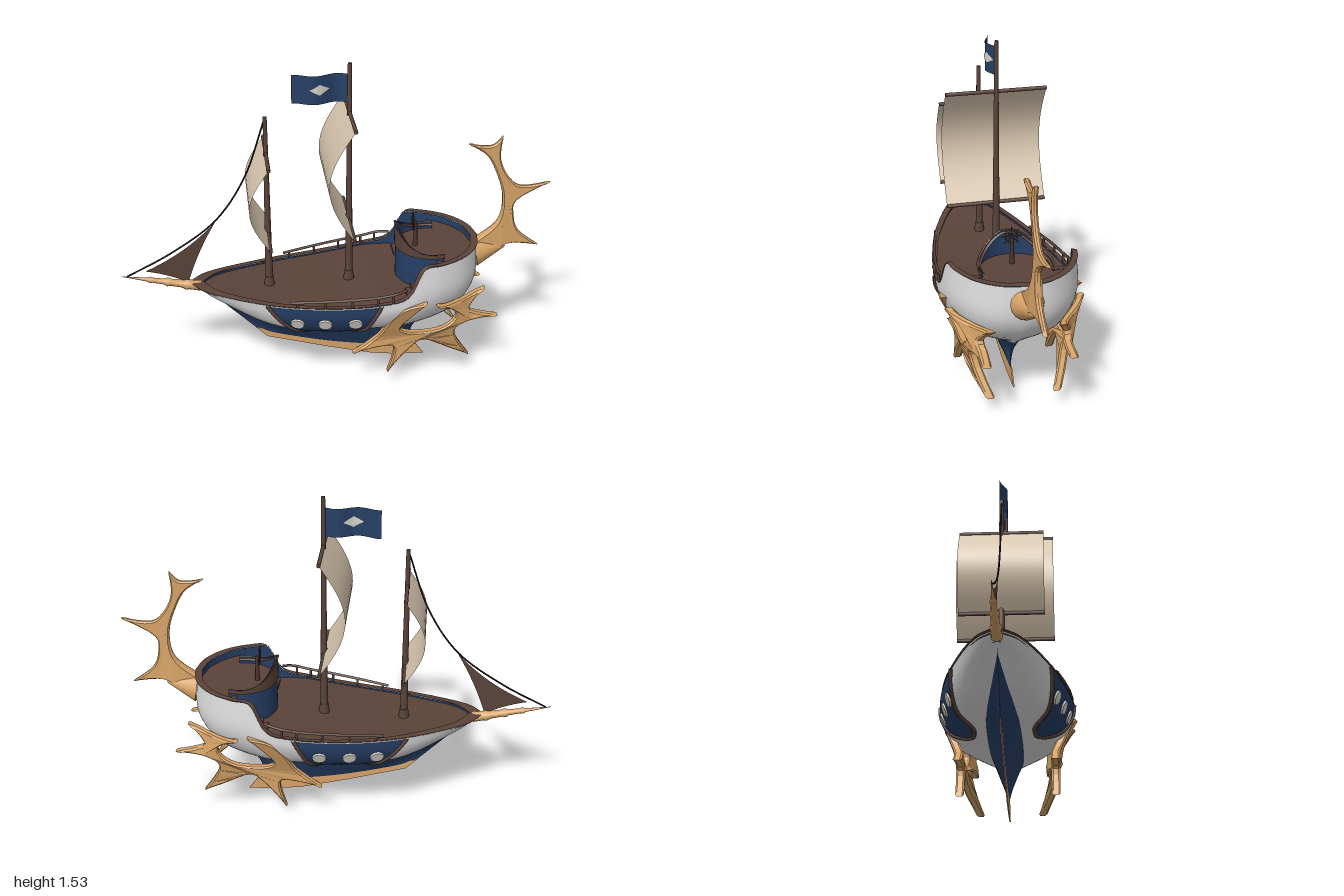
import * as THREE from 'three';
import { ParametricGeometry } from 'three/addons/geometries/ParametricGeometry.js';

const V = (x, y, z) => new THREE.Vector3(x, y, z);
const material = (name, color) => {
  const m = new THREE.MeshStandardMaterial({ color, side: THREE.DoubleSide });
  m.name = name;
  return m;
};
const row = (pts) => new THREE.CatmullRomCurve3(pts.map((p) => V(...p)));

// Lengthwise hull lines, bow to stern, from the rail down to the keel
const railLine = row([[-.68, .475, 0], [-.61, .47, .085], [-.34, .455, .21], [-.075, .455, .275], [.17, .475, .308], [.29, .505, .308],
  [.37, .64, .29], [.45, .645, .272], [.56, .645, .21], [.635, .645, .11], [.66, .645, 0]]);
const waleLine = row([[-.65, .455, 0], [-.58, .43, .075], [-.33, .39, .2], [-.07, .39, .268], [.17, .41, .3], [.29, .44, .305],
  [.37, .47, .297], [.45, .48, .278], [.56, .48, .215], [.635, .48, .115], [.66, .48, 0]]);
const bellyLine = row([[-.62, .435, 0], [-.53, .385, .055], [-.3, .315, .165], [-.05, .31, .225], [.17, .32, .245], [.28, .33, .25],
  [.36, .34, .235], [.44, .35, .21], [.53, .36, .16], [.58, .37, .09], [.6, .37, 0]]);
const bottomLine = row([[-.59, .41, 0], [-.48, .335, .028], [-.28, .265, .065], [-.04, .25, .075], [.15, .245, .075], [.24, .245, .072],
  [.3, .245, .068], [.36, .245, .06], [.4, .245, .045], [.42, .24, .022], [.43, .235, 0]]);
const flankLine = row([[-.49, .31, 0], [-.4, .255, .014], [-.23, .2, .033], [-.035, .175, .038], [.135, .155, .038], [.22, .15, .036],
  [.27, .15, .034], [.31, .15, .03], [.335, .15, .022], [.355, .15, .011], [.365, .15, 0]]);
const keelLine = row([[-.39, .21, 0], [-.32, .18, .003], [-.18, .14, .003], [-.03, .105, .003], [.12, .08, .003], [.2, .073, .003],
  [.25, .07, .003], [.3, .07, .003], [.33, .07, .003], [.35, .07, .002], [.37, .07, 0]]);

const section = (lines, u, v) => new THREE.CatmullRomCurve3(lines.map((l) => l.getPoint(u))).getPoint(v);
const hullPoint = (u, v) => section([railLine, waleLine, bellyLine, bottomLine], u, v);
const hullNormal = (u, v) => {
  const p = hullPoint(u, v), e = .004;
  const n = hullPoint(u + e, v).sub(p).cross(hullPoint(u, v + e).sub(p)).normalize();
  return n.z < 0 ? n.negate() : n;
};
// Rail line drawn in towards the middle of the deck
const inset = (u, k) => {
  const p = railLine.getPoint(u);
  return V(p.x + (.2 - p.x) * k, p.y, p.z * (1 - k));
};

export function createModel() {
  const ship = new THREE.Group();
  ship.name = 'sailingShip';
  const white = material('hull white', 0xdedede), navy = material('navy paint', 0x263f66), gold = material('antler gold', 0xd6a367);
  const brown = material('deck brown', 0x5a4339), dark = material('dark wood', 0x4a352d), cream = material('sail cream', 0xdac8b0);
  const pale = material('porthole pale', 0xdad6cc), black = material('rope black', 0x1c1714);

  const add = (name, geo, mat) => {
    const m = new THREE.Mesh(geo, mat);
    m.name = name;
    ship.add(m);
    return m;
  };
  const sheet = (name, fn, nu, nv, mat) => {
    const g = new ParametricGeometry((u, v, t) => t.copy(fn(u, v)), nu, nv);
    g.computeVertexNormals();
    return add(name, g, mat);
  };
  // A strip running down one side, round the stern and back up the other
  const around = (name, fn, nv, mat) => sheet(name, (u, v) => {
    const p = fn(1 - Math.abs(2 * u - 1), v);
    if (u > .5) p.z = -p.z;
    return p;
  }, 96, nv, mat);
  const tube = (name, pts, r, mat, n = 24) =>
    add(name, new THREE.TubeGeometry(new THREE.CatmullRomCurve3(pts), n, r, 6), mat);
  const place = (mesh, from, a, b) => {
    mesh.position.copy(from);
    mesh.quaternion.setFromUnitVectors(V(0, 1, 0), b.clone().sub(a).normalize());
    return mesh;
  };
  const rod = (name, a, b, r1, r2, mat, sides = 10) =>
    place(add(name, new THREE.CylinderGeometry(r2, r1, a.distanceTo(b), sides), mat), a.clone().lerp(b, .5), a, b);

  // Hull, keel and decks
  around('upperHull', hullPoint, 14, white);
  around('lowerHull', (u, v) => section([bottomLine, flankLine, keelLine], u, v), 8, navy);
  const keel = [[-.39, .21], [-.2, .147], [0, .1], [.17, .073], [.38, .07], [.43, 0], [.3, .003], [.17, .02], [-.05, .075], [-.335, .155]];
  add('keel', new THREE.ExtrudeGeometry(new THREE.Shape(keel.map((p) => new THREE.Vector2(...p))),
    { depth: .006, bevelEnabled: false }), gold).position.z = -.003;
  sheet('mainDeck', (u, v) => {
    const p = railLine.getPoint(u * .8);
    return V(p.x, Math.min(p.y - .008, .465), p.z * (1 - 2 * v) * .97);
  }, 48, 2, brown);
  around('railCap', (u, v) => inset(u, .075 * v - .015).add(V(0, .005, 0)), 1, brown);
  around('bulwarkInside', (u, v) => {
    const p = inset(u, .05);
    p.y += (.44 - p.y) * v;
    return p;
  }, 1, navy);

  // Raised stern deck with a curved bulkhead and a peaked parapet
  const arc = (t, r) => {
    const a = (75 + 210 * t) * Math.PI / 180;
    return V(.44 + r * Math.cos(a), .64 + .09 * Math.max(0, -Math.cos(a)) ** 3, r * Math.sin(a));
  };
  const outline = [];
  for (let i = 0; i <= 20; i++) outline.push(arc(i / 20, .16));
  for (let i = 0; i <= 32; i++) {
    const p = inset(1 - Math.abs(i / 16 - 1) * .27, .05);
    outline.push(V(p.x, 0, i < 16 ? -p.z : p.z));
  }
  const sternDeck = new THREE.ShapeGeometry(new THREE.Shape(outline.map((p) => new THREE.Vector2(p.x, p.z))));
  add('sternDeck', sternDeck.rotateX(Math.PI / 2), brown).position.y = .61;
  const arcWall = (name, r, low, mat) => sheet(name, (u, v) => {
    const p = arc(u, r);
    p.y += (low - p.y) * v;
    return p;
  }, 30, 1, mat);
  arcWall('bulkhead', .16, .45, navy);
  arcWall('parapetBand', .166, .62, brown);
  sheet('parapetCap', (u, v) => arc(u, .15 + .02 * v).add(V(0, .002 - .014 * (1 - v), 0)), 30, 1, brown);

  // Steering wheel
  const wheel = add('wheelRim', new THREE.TorusGeometry(.028, .004, 6, 16), dark);
  wheel.rotation.y = Math.PI / 2;
  wheel.position.set(.36, .735, 0);
  for (let i = 0; i < 4; i++) {
    const d = V(0, Math.cos(i * Math.PI / 4) * .045, Math.sin(i * Math.PI / 4) * .045);
    rod('wheelSpoke', wheel.position.clone().sub(d), wheel.position.clone().add(d), .003, .003, dark, 5);
  }
  rod('wheelStand', V(.372, .61, 0), V(.372, .735, 0), .012, .007, dark, 8);

  for (const s of [1, -1]) {
    // Stairs up to the stern deck
    for (let i = 0; i < 7; i++) {
      const h = .021 * (i + 1);
      add('stair', new THREE.BoxGeometry(.024, h, .094 - i * .003), brown).position.set(.312 + i * .024, .46 + h / 2, s * (.214 - i * .003));
    }
    // Painted side panel with frame and portholes
    const onHull = (u, v, lift) => {
      const p = hullPoint(u, v).addScaledVector(hullNormal(u, v), lift);
      return V(p.x, p.y, p.z * s);
    };
    const panel = (t, v, lift) => {
      const c = Math.cos(Math.PI * t);
      return onHull(.3 - .1 * c, .01 + .87 * v * (1 - Math.abs(c) ** 3), lift);
    };
    sheet('sidePanel', (u, v) => panel(u, v, .005), 32, 10, navy);
    tube('panelFrame', Array.from({ length: 25 }, (_, i) => panel(i / 24, 1, .004)), .01, brown, 48);
    for (const u of [.246, .294, .349]) {
      rod('porthole', onHull(u, .42, .004), onHull(u, .42, .012), .033, .031, pale, 10);
    }
    // Deck railing
    const railAt = (t) => {
      const p = railLine.getPoint(.24 + .21 * t);
      return V(p.x, .475 + .053 * t, p.z * .975 * s);
    };
    tube('handRail', [0, .25, .5, .75, 1].map(railAt).concat(V(.29, .535, .285 * s)), .007, brown);
    for (let i = 0; i < 5; i++) {
      const p = railAt(.05 + i * .225);
      rod('railPost', V(p.x, .445, p.z), p, .006, .006, brown, 6);
    }
  }

  // Antlers: curved outlines running from tip to tip, bevelled and bent by a rule
  const antler = (name, arcs, depth, bend) => {
    const shape = new THREE.Shape();
    shape.moveTo(...arcs[arcs.length - 1].at(-1));
    for (const a of arcs) shape.splineThru(a.map((p) => new THREE.Vector2(...p)));
    const g = new THREE.ExtrudeGeometry(shape, { depth, curveSegments: 3, bevelThickness: .008, bevelSize: .007, bevelOffset: -.007, bevelSegments: 1 });
    g.translate(0, 0, -depth / 2);
    const a = g.attributes.position;
    for (let i = 0; i < a.count; i++) a.setZ(i, bend(a.getX(i), a.getY(i), a.getZ(i)));
    g.computeVertexNormals();
    return add(name, g, gold);
  };
  const sideArcs = [
    [[.28, .45], [.215, .375], [.16, .265], [.05, .177]],
    [[.17, .205], [.245, .195], [.215, .06]],
    [[.32, .19], [.41, .225], [.62, .083]],
    [[.535, .24], [.57, .3], [.74, .318]],
    [[.6, .365], [.68, .453]],
    [[.57, .432], [.425, .453]],
    [[.51, .4], [.53, .345], [.465, .295], [.36, .28], [.285, .295], [.275, .34], [.38, .478]],
  ];
  for (const s of [1, -1]) {
    antler('sideAntler', sideArcs, .024, (x, y, z) => {
      const front = .22 + Math.max(0, y - .25) * .39;
      const back = .195 - Math.abs(y - .3) * .24;
      return s * THREE.MathUtils.lerp(front, back, THREE.MathUtils.smoothstep(x, .42, .66)) + z;
    });
  }
  const sternArcs = [
    [[.73, .54], [.81, .595], [.965, .578]],
    [[.865, .66], [.835, .75], [.85, .825], [1, .907]],
    [[.865, .895], [.8, .945], [.757, 1.04], [.762, 1.15]],
    [[.71, 1.105], [.605, 1.117]],
    [[.69, 1.06], [.74, .97], [.775, .865], [.775, .76], [.74, .69], [.655, .625]],
    [[.655, .485]],
  ];
  antler('sternAntler', sternArcs, .01, (x, y, z) => {
    const root = (1 - THREE.MathUtils.smoothstep(y, .55, .9)) * (1 - THREE.MathUtils.smoothstep(x, .76, .88));
    return z * (1 + 1.3 * root);
  });
  rod('antlerRoot', V(.655, .56, 0), V(.8, .59, 0), .074, .015, gold, 16);

  // Masts, yards and square sails
  const rig = [
    { x: .058, base: .45, top: 1.53, high: 1.3, low: .765, half: .228, belly: .115 },
    { x: -.318, base: .44, top: 1.295, high: 1.12, low: .72, half: .19, belly: .09 },
  ];
  for (const m of rig) {
    rod('mast', V(m.x, m.base, 0), V(m.x, m.top, 0), .018, .009, brown, 12);
    rod('mastFoot', V(m.x, m.base, 0), V(m.x, m.base + .05, 0), .026, .02, brown, 12);
    for (const y of [m.high, m.low]) rod('yard', V(m.x, y, -m.half), V(m.x, y, m.half), .009, .009, brown, 8);
    sheet('squareSail', (u, v) => V(m.x - m.belly * Math.sin(Math.PI * v), m.low + (m.high - m.low) * v, m.half * (2 * u - 1)), 2, 16, cream);
  }

  // Flag with a plain lozenge on both faces
  const wave = (x) => .016 * Math.sin((x - .05) * 32);
  sheet('flag', (u, v) => {
    const x = -.198 + .248 * u;
    return V(x, 1.347 + .133 * v, wave(x));
  }, 24, 1, navy);
  for (const s of [1, -1]) {
    sheet('flagLozenge', (u, v) => {
      const x = -.12 + .09 * u;
      return V(x, 1.415 + (v - .5) * .05 * (1 - Math.abs(2 * u - 1)), wave(x) + s * .003);
    }, 12, 1, pale);
  }

  // Bowsprit, jib and forestay
  const spar = [[.024, 0], [.023, .05], [.027, .065], [.019, .085], [.017, .14], [.022, .155], [.014, .17], [.012, .225], [.016, .235], [.009, .25], [.001, .368]];
  const heel = V(-.64, .457, 0);
  place(add('bowsprit', new THREE.LatheGeometry(spar.map((p) => new THREE.Vector2(...p)), 10), gold), heel, heel, V(-1, .53, 0));
  const jib = new THREE.Shape();
  jib.moveTo(-.89, .55);
  jib.quadraticCurveTo(-.69, .64, -.557, .79);
  jib.quadraticCurveTo(-.645, .64, -.695, .48);
  jib.quadraticCurveTo(-.79, .53, -.89, .55);
  add('jib', new THREE.ShapeGeometry(jib), brown);
  tube('forestay', [V(-.32, 1.285, 0), V(-.42, 1, 0), V(-.557, .795, 0), V(-.765, .64, 0), V(-.975, .528, 0)], .004, black, 32);
  return ship;
}
